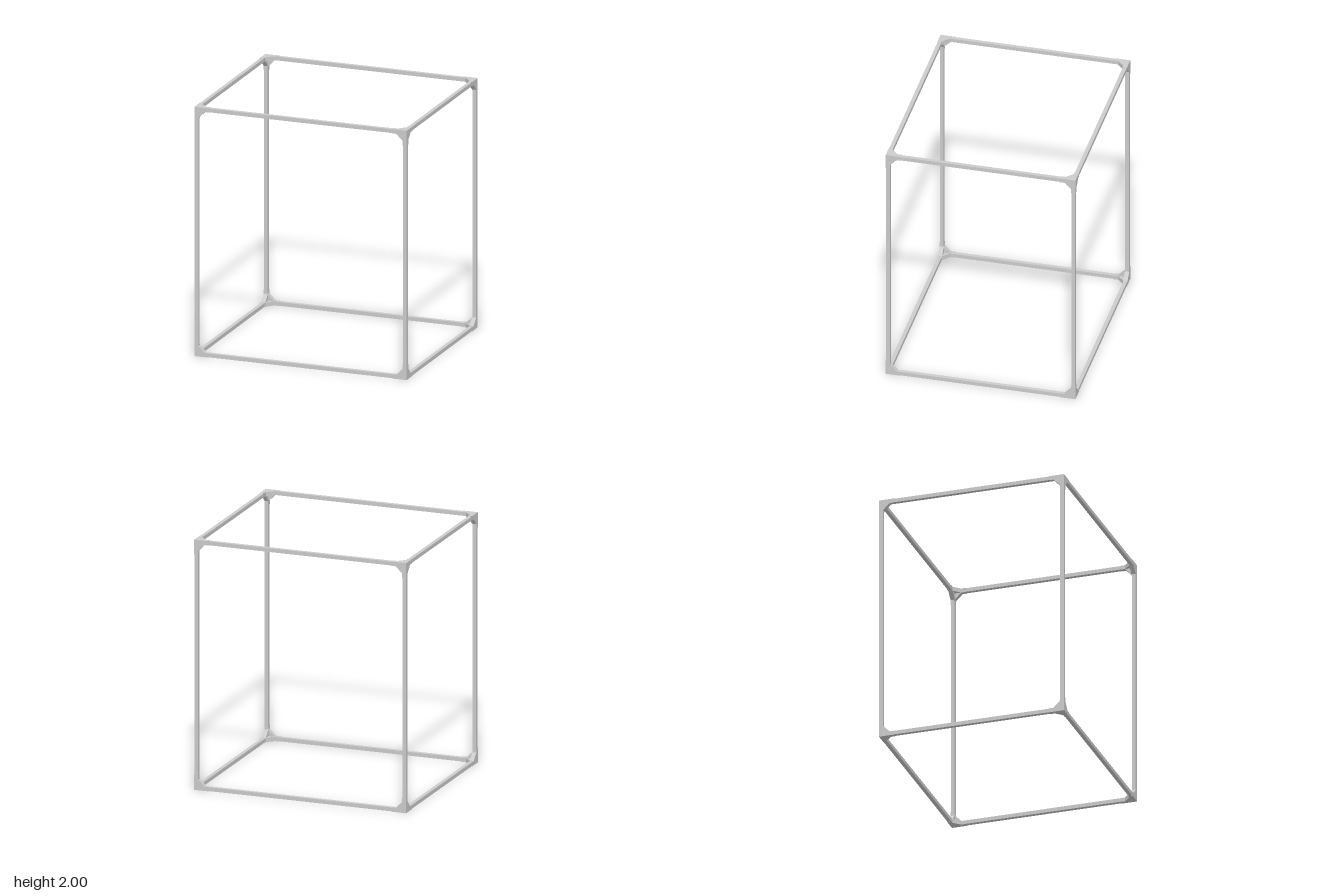
import * as THREE from 'three';

// Open box frame: twelve square bars joined by eight three-way gusset corners
const SIZE = [1.75, 2, 1.5];
const BAR = 0.03, INSET = 0.002;
const LEG = 0.12, PLATE = 0.034;

const material = new THREE.MeshStandardMaterial({ color: 0xcccccc, flatShading: true, side: THREE.DoubleSide });
const AXES = ['x', 'y', 'z'];

// Bars along one axis, at the four combinations of the other two
function addBars(group, axis) {
  const a = (axis + 1) % 3, b = (axis + 2) % 3;
  const dims = [BAR, BAR, BAR];
  dims[axis] = SIZE[axis] - 2 * INSET;
  const geometry = new THREE.BoxGeometry(...dims);
  for (const sa of [-1, 1]) for (const sb of [-1, 1]) {
    const bar = new THREE.Mesh(geometry, material);
    bar.name = AXES[axis] + 'Bar';
    bar.position.setComponent(a, sa * (SIZE[a] / 2 - INSET - BAR / 2));
    bar.position.setComponent(b, sb * (SIZE[b] / 2 - INSET - BAR / 2));
    group.add(bar);
  }
}

// Triangular gusset with its right angle at the origin
function gussetGeometry() {
  const shape = new THREE.Shape();
  shape.moveTo(0, 0);
  shape.lineTo(LEG, 0);
  shape.lineTo(0, LEG);
  shape.closePath();
  return new THREE.ExtrudeGeometry(shape, { depth: PLATE, bevelEnabled: false });
}

// Three gussets, one in each face plane, meeting at the corner
function makeCorner(geometry) {
  const corner = new THREE.Group();
  corner.name = 'cornerBracket';
  const X = new THREE.Vector3(1, 0, 0), Y = new THREE.Vector3(0, 1, 0), Z = new THREE.Vector3(0, 0, 1);
  for (const basis of [[X, Y, Z], [Y, Z, X], [Z, X, Y]]) {
    const gusset = new THREE.Mesh(geometry, material);
    gusset.name = 'gusset';
    gusset.quaternion.setFromRotationMatrix(new THREE.Matrix4().makeBasis(...basis));
    corner.add(gusset);
  }
  return corner;
}

export function createModel() {
  const model = new THREE.Group();
  model.name = 'boxFrame';
  const frame = new THREE.Group();
  frame.name = 'frame';
  frame.position.y = SIZE[1] / 2;
  model.add(frame);

  for (let axis = 0; axis < 3; axis++) addBars(frame, axis);

  // Corner brackets mirrored into all eight corners
  const geometry = gussetGeometry();
  for (const x of [-1, 1]) for (const y of [-1, 1]) for (const z of [-1, 1]) {
    const corner = makeCorner(geometry);
    corner.scale.set(-x, -y, -z);
    corner.position.set(x * SIZE[0] / 2, y * SIZE[1] / 2, z * SIZE[2] / 2);
    frame.add(corner);
  }
  return model;
}
